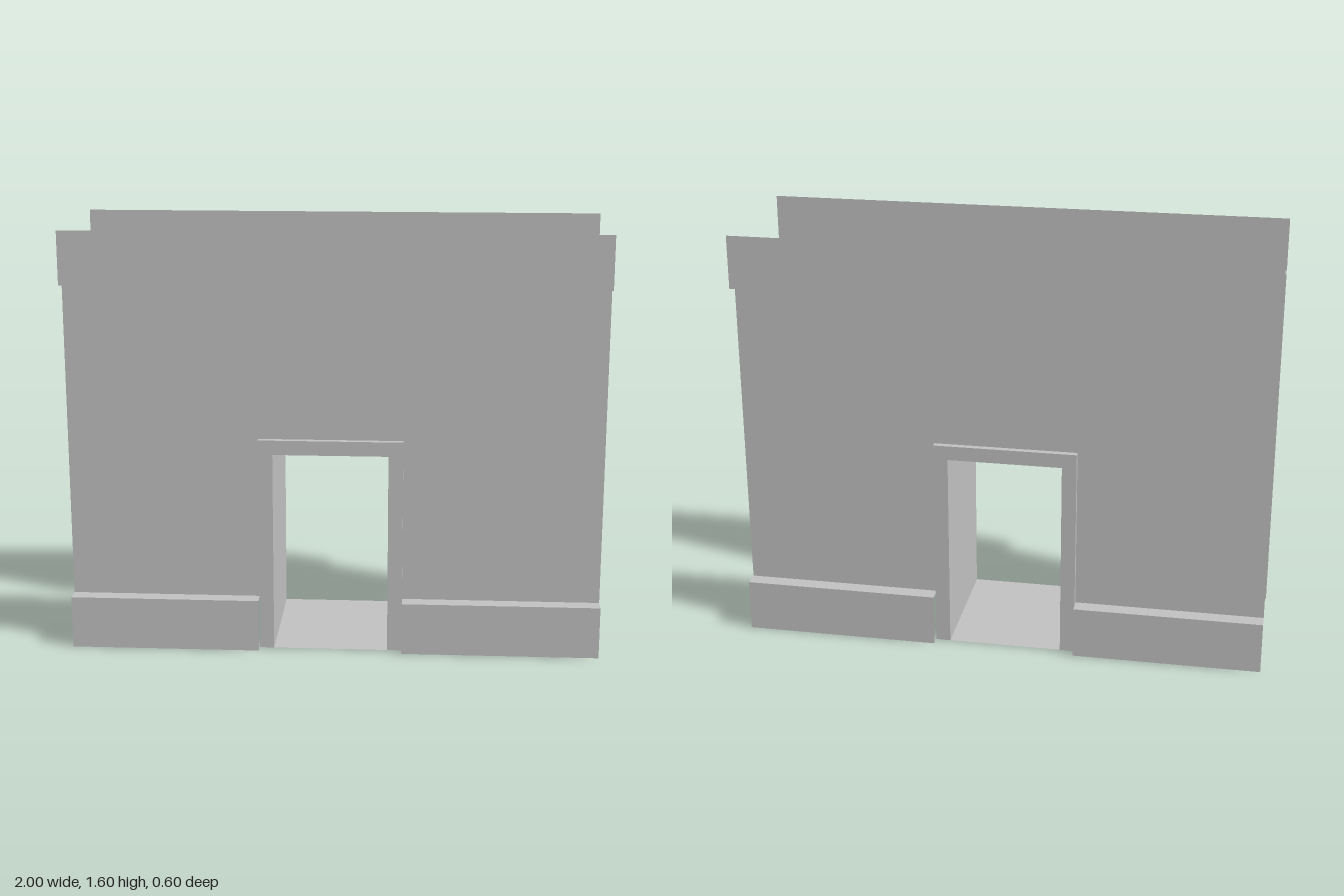
import * as THREE from 'three';

const grey = new THREE.MeshStandardMaterial({ color: 0xbfbfbf, side: THREE.DoubleSide });
grey.name = 'plain grey';

// Door frame outline and wall levels
const L = -0.285, R = 0.257, TOP = 0.82, EDGE = 0.055;
const SKIRT = 0.2, CORNICE = 1.4, HEIGHT = 1.6;
const INNER = 0.242, OUTER = 0.3, DEPTH = 0.53;

function add(parent, name, geometry, x = 0, y = 0, z = 0) {
  const mesh = new THREE.Mesh(geometry, grey);
  mesh.name = name;
  mesh.position.set(x, y, z);
  parent.add(mesh);
  return mesh;
}

// Thin upright band facing z
function band(parent, name, x0, x1, y0, y1, z) {
  add(parent, name, new THREE.PlaneGeometry(x1 - x0, y1 - y0), (x0 + x1) / 2, (y0 + y1) / 2, z);
}

// Thin level strip between two depths
function shelf(parent, name, x0, x1, y, z0, z1) {
  const g = new THREE.PlaneGeometry(x1 - x0, Math.abs(z1 - z0)).rotateX(-Math.PI / 2);
  add(parent, name, g, (x0 + x1) / 2, y, (z0 + z1) / 2);
}

function polygon(points) {
  return new THREE.Shape(points.map(([x, y]) => new THREE.Vector2(x, y)));
}

// One stepped sheet wall with a doorway cut out
function makeWall(name, side) {
  const wall = new THREE.Group();
  wall.name = name;
  const zi = side * INNER, zo = side * OUTER;
  const panel = polygon([
    [-1, SKIRT], [L, SKIRT], [L, TOP], [R, TOP], [R, SKIRT],
    [1, SKIRT], [1, CORNICE], [-1, CORNICE],
  ]);
  add(wall, 'wallPanel', new THREE.ShapeGeometry(panel), 0, 0, zi);
  band(wall, 'corniceBand', -1, 1, CORNICE, HEIGHT, zo);
  shelf(wall, 'corniceLedge', -1, 1, CORNICE, zi, zo);
  for (const [x0, x1] of [[-1, L], [R, 1]]) {
    band(wall, 'skirtingBand', x0, x1, 0, SKIRT, zo);
    shelf(wall, 'skirtingLedge', x0, x1, SKIRT, zi, zo);
  }
  return wall;
}

export function createModel() {
  const model = new THREE.Group();
  model.name = 'doorwayWalls';
  model.add(makeWall('frontWall', 1), makeWall('backWall', -1));

  // Passage joining both doorways, with its rim standing proud of the walls
  const arch = polygon([
    [L, 0], [L + EDGE, 0], [L + EDGE, TOP - EDGE], [R - EDGE, TOP - EDGE],
    [R - EDGE, 0], [R, 0], [R, TOP], [L, TOP],
  ]);
  const passage = new THREE.ExtrudeGeometry(arch, { depth: DEPTH, bevelEnabled: false });
  add(model, 'passageFrame', passage, 0, 0, -DEPTH / 2);
  shelf(model, 'passageFloor', L + EDGE, R - EDGE, 0, -DEPTH / 2, DEPTH / 2);
  return model;
}
